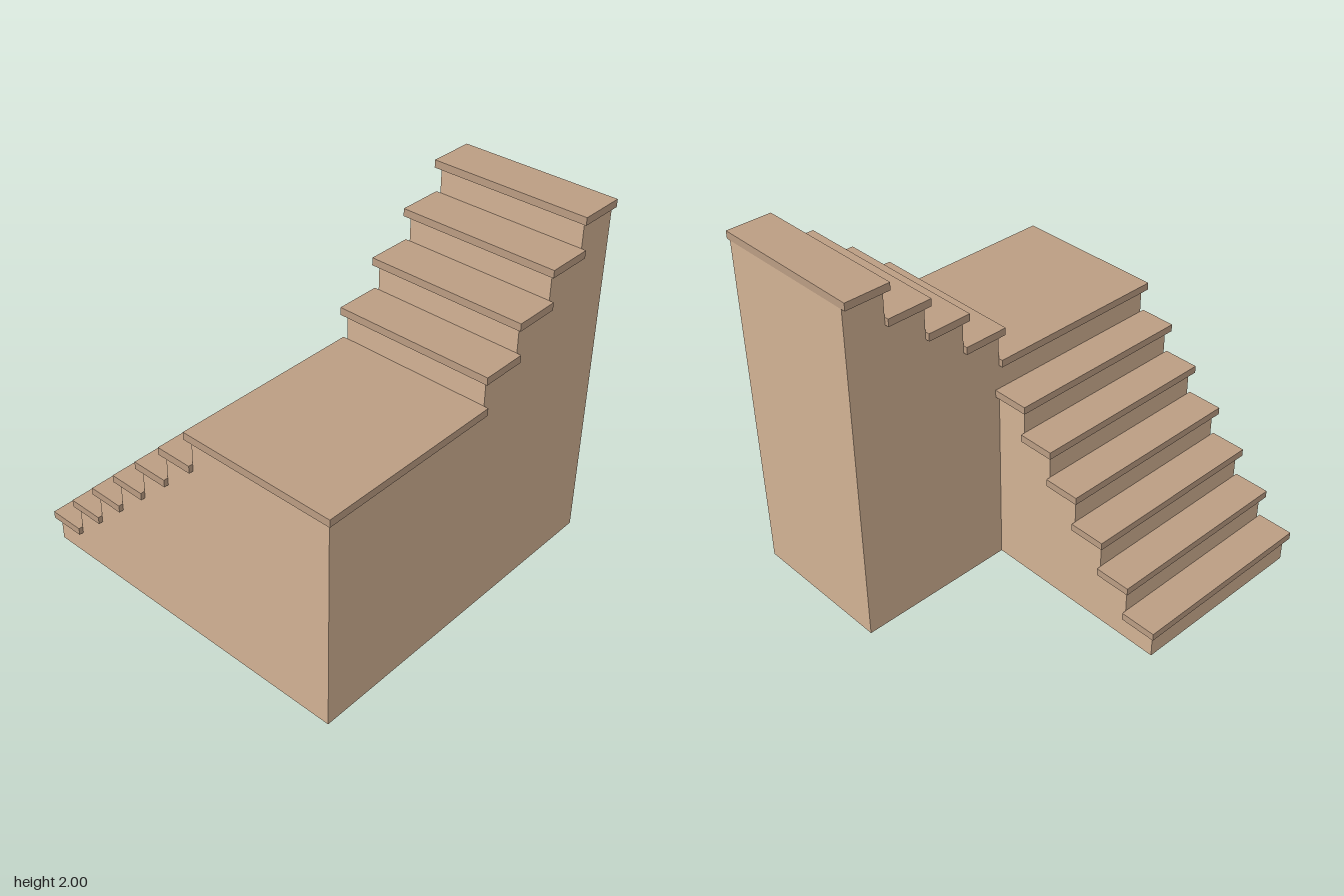
import * as THREE from 'three';

const RISE = 2 / 11;    // height of every step
const THICK = 0.042;    // tread board thickness
const NOSE = 0.025;     // tread overhang
const LOWER_RUN = 0.184;
const UPPER_RUN = 0.23;
const LOWER_STEPS = 6;
const UPPER_STEPS = 4;
const INNER_X = 0.13;   // inner face of the upper flight
const INNER_Z = -0.08;  // back face of the lower flight
const OUTER = 0.975;    // outer faces of the body

// Solid stepped profile; steps = [start, end, level], running along the shape's x
function steppedBody(steps, depth) {
  const shape = new THREE.Shape();
  shape.moveTo(steps[0][0], 0);
  for (const [start, end, level] of steps) {
    const y = level * RISE - THICK;
    shape.lineTo(start, y);
    shape.lineTo(end, y);
  }
  shape.lineTo(steps[steps.length - 1][1], 0);
  shape.closePath();
  return new THREE.ExtrudeGeometry(shape, { depth, bevelEnabled: false });
}

export function createModel() {
  const model = new THREE.Group();
  model.name = 'staircase';
  const bodyMat = new THREE.MeshStandardMaterial({ color: 0xd2b294 });
  const treadMat = new THREE.MeshStandardMaterial({ color: 0xbb9d83 });

  const add = (name, geometry, material) => {
    const mesh = new THREE.Mesh(geometry, material);
    mesh.name = name;
    model.add(mesh);
    return mesh;
  };
  // Board spanning x0..x1 and z0..z1 with its top at the given step level
  const addTread = (name, x0, x1, z0, z1, level) => {
    const board = add(name, new THREE.BoxGeometry(x1 - x0, THICK, z1 - z0), treadMat);
    board.position.set((x0 + x1) / 2, level * RISE - THICK / 2, (z0 + z1) / 2);
  };

  // Lower flight, climbing towards +x
  const lower = [];
  for (let i = 0; i < LOWER_STEPS; i++) {
    const x0 = -OUTER + i * LOWER_RUN;
    const x1 = i === LOWER_STEPS - 1 ? INNER_X : x0 + LOWER_RUN;
    lower.push([x0, x1, i + 1]);
    addTread(`lowerTread${i + 1}`, x0 - NOSE, x1, INNER_Z - NOSE, 1, i + 1);
  }
  add('lowerFlightBody', steppedBody(lower, OUTER - INNER_Z), bodyMat).position.z = INNER_Z;

  // Landing at the turn
  const landing = LOWER_STEPS + 1;
  addTread('landing', INNER_X - NOSE, 1, INNER_Z, 1, landing);

  // Upper flight, climbing towards -z; its profile runs along -z
  const upper = [[-OUTER, -INNER_Z, landing]];
  for (let i = 0; i < UPPER_STEPS; i++) {
    const start = -INNER_Z + i * UPPER_RUN;
    upper.push([start, start + UPPER_RUN, landing + 1 + i]);
    addTread(`upperTread${i + 1}`, INNER_X - NOSE, 1,
      -start - UPPER_RUN, -start + NOSE, landing + 1 + i);
  }
  const upperGeometry = steppedBody(upper, OUTER - INNER_X).rotateY(Math.PI / 2);
  add('upperFlightBody', upperGeometry, bodyMat).position.x = INNER_X;

  return model;
}
